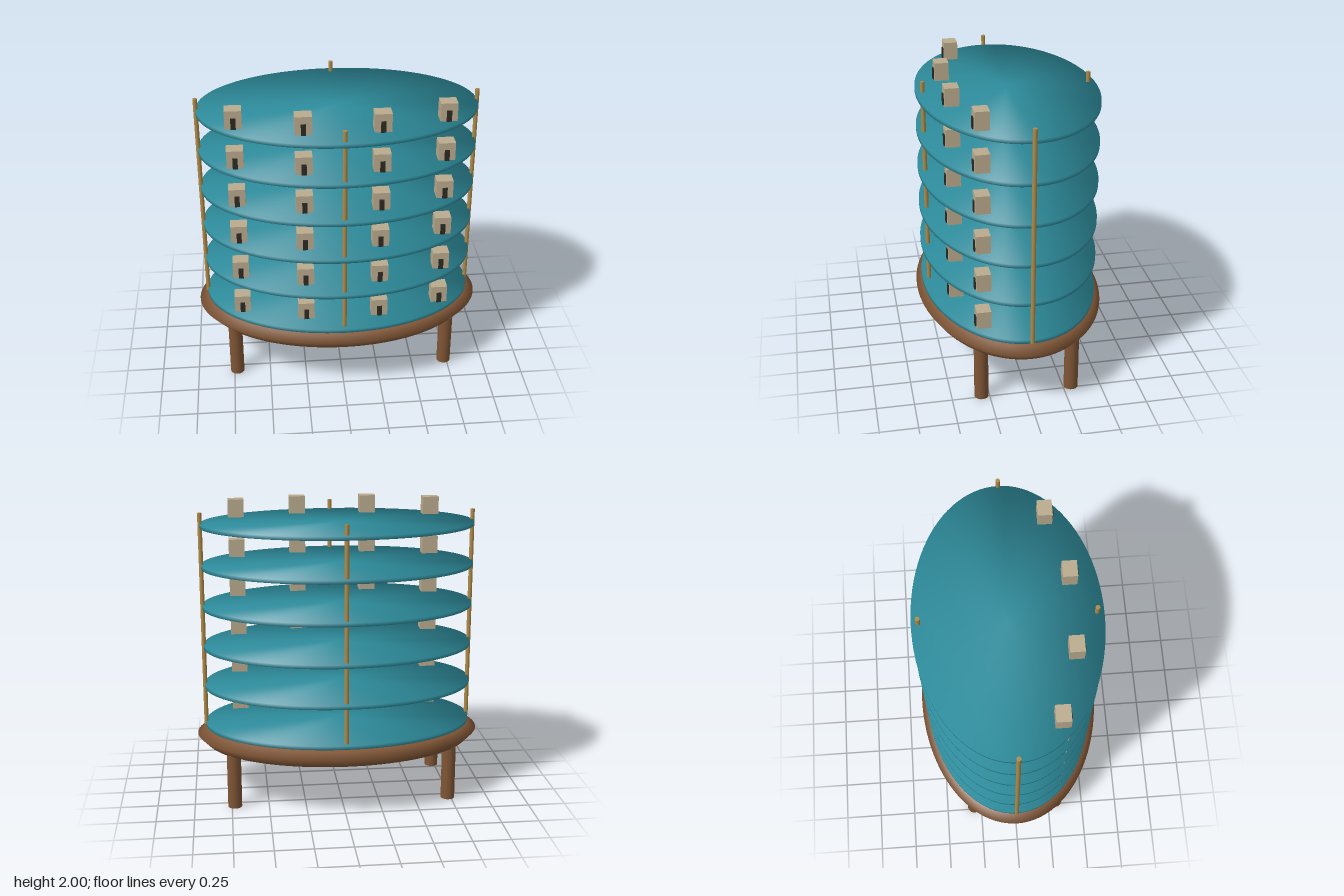
import * as THREE from 'three';

const RATIO = 0.65; // depth of every oval relative to its width

const material = (name, color, extra = {}) => {
  const m = new THREE.MeshStandardMaterial({ color, ...extra });
  m.name = name;
  return m;
};

// Oval disc from rings [radius, y, outward normal, upward normal], soft-shaded across its rim
function ovalDisc(rings) {
  const geo = new THREE.LatheGeometry(rings.map(([r, y]) => new THREE.Vector2(r, y)), 96);
  geo.scale(1, 1, RATIO);
  const pos = geo.attributes.position;
  const n = new THREE.Vector3();
  for (let i = 0; i < pos.count; i++) {
    const [, , out, up] = rings[i % rings.length];
    n.set(pos.getX(i), 0, pos.getZ(i) / (RATIO * RATIO));
    n.normalize().multiplyScalar(out);
    n.y = up;
    n.normalize();
    geo.attributes.normal.setXYZ(i, n.x, n.y, n.z);
  }
  return geo;
}

export function createModel() {
  const model = new THREE.Group();
  const wood = material('brown wood', 0x7f5535);
  const teal = material('teal', 0x2e8d9d);
  const brass = material('brass', 0xae8a48);
  const sand = material('sand', 0xbaab8e);
  const dark = material('dark door', 0x2c2a24);

  const add = (name, geo, mat, x, y, z, parent = model) => {
    const mesh = new THREE.Mesh(geo, mat);
    mesh.name = name;
    mesh.position.set(x, y, z);
    parent.add(mesh);
    return mesh;
  };

  // Table: bevelled oval top on four round legs
  add('tableTop', ovalDisc([
    [0, 0.37, 0, -1], [0.91, 0.37, 0.5, -1], [0.97, 0.43, 1, 0],
    [0.91, 0.475, 0.5, 1], [0, 0.475, 0, 1],
  ]), wood, 0, 0, 0);
  const legGeo = new THREE.CylinderGeometry(0.047, 0.047, 0.375, 24);
  for (const x of [-0.73, 0.73])
    for (const z of [-0.303, 0.303]) add('leg', legGeo, wood, x, 0.1875, z);

  // Slender posts carrying the tiers
  const postGeo = new THREE.CylinderGeometry(0.0145, 0.0145, 1.458, 16);
  for (const [x, z] of [[-0.91, 0], [0.91, 0], [0, -0.547], [0, 0.547]])
    add('post', postGeo, brass, x, 1.22, z);

  // Six oval tiers, each with an arc of four small houses
  const half = 0.0128;
  const tierGeo = ovalDisc([
    [0, -half, 0, -1], [0.91, -half, 1.8, -1],
    [0.91, half, 1.8, 1], [0, half, 0, 1],
  ]);
  const houseGeo = new THREE.BoxGeometry(0.108, 0.12, 0.093);
  const doorGeo = new THREE.BoxGeometry(0.032, 0.073, 0.018);
  const spots = [[-0.67, 0.277], [-0.245, 0.396], [0.245, 0.396], [0.67, 0.277]];
  for (let i = 0; i < 6; i++) {
    const tier = new THREE.Group();
    tier.name = 'tier';
    tier.position.y = 0.5 + i * 0.2734;
    model.add(tier);
    add('shelf', tierGeo, teal, 0, 0, 0, tier);
    for (const [x, z] of spots) {
      add('house', houseGeo, sand, x, half + 0.06, z, tier);
      add('door', doorGeo, dark, x, half + 0.0365, z + 0.0465, tier);
    }
  }
  return model;
}
